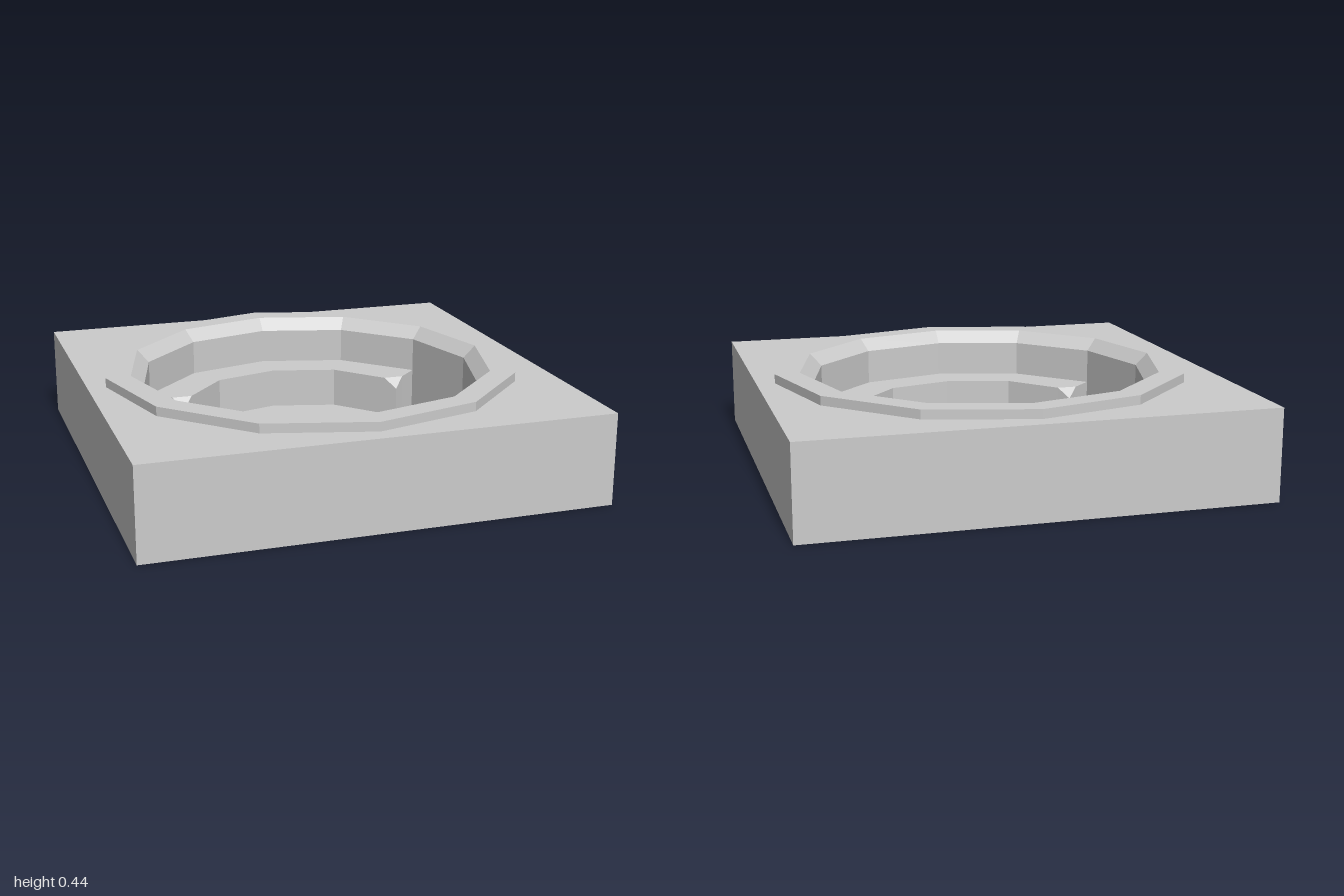
import * as THREE from 'three';

const SIDES = 12;
const FLOOR = 0.05, LEDGE = 0.23, TOP = 0.4, RIM = 0.44;

// Point on a circle, angle in degrees
const polar = (r, deg) => {
  const a = THREE.MathUtils.degToRad(deg);
  return new THREE.Vector2(r * Math.cos(a), r * Math.sin(a));
};

// Extrude a plan outline upward from y0 to y1 (plan y points to the back)
function slab(shape, y0, y1) {
  const geo = new THREE.ExtrudeGeometry(shape, { depth: y1 - y0, bevelEnabled: false });
  return geo.rotateX(-Math.PI / 2).translate(0, y0, 0);
}

export function createModel() {
  const group = new THREE.Group();
  const material = new THREE.MeshStandardMaterial({ color: 0xcccccc, flatShading: true });
  const add = (parent, name, geo) => {
    const mesh = new THREE.Mesh(geo, material);
    mesh.name = name;
    parent.add(mesh);
  };

  // Square block with an opening that holds the basin
  const square = new THREE.Shape([[-1, -1], [1, -1], [1, 1], [-1, 1]].map(p => new THREE.Vector2(...p)));
  const ring = Array.from({ length: SIDES }, (_, i) => polar(0.92, i * 360 / SIDES));
  square.holes.push(new THREE.Path(ring));
  add(group, 'block', slab(square, 0, TOP));

  // Twelve-sided basin: underside, raised rim, chamfer, wall and floor
  const profile = [
    [0, 0], [0.92, 0], [0.92, RIM], [0.81, RIM], [0.755, 0.386], [0.755, FLOOR], [0, FLOOR],
  ].map(p => new THREE.Vector2(...p));
  add(group, 'basin', new THREE.LatheGeometry(profile, SIDES).toNonIndexed());

  // Two facing ledges along the basin wall
  for (const [name, turn] of [['backLedge', 0], ['frontLedge', Math.PI]]) {
    const ledge = new THREE.Group();
    ledge.name = name;
    ledge.rotation.y = turn;
    group.add(ledge);

    const outline = [30, 60, 90, 120, 150].map(a => polar(0.755, a));
    const inner = [[-0.567, 0.294], [-0.476, 0.294], [-0.29, 0.5], [0, 0.577], [0.29, 0.5], [0.476, 0.294], [0.567, 0.294]];
    outline.push(...inner.map(p => new THREE.Vector2(...p)));
    add(ledge, 'ledgeBody', slab(new THREE.Shape(outline), FLOOR, LEDGE));

    // Pointed ends whose top slopes down to the tip
    for (const s of [-1, 1]) {
      const tip = new THREE.Shape([[0.476, 0.294], [0.519, 0.246], [0.567, 0.294]]
        .map(([x, y]) => new THREE.Vector2(s * x, y)));
      const geo = slab(tip, FLOOR, LEDGE);
      const pos = geo.attributes.position;
      for (let i = 0; i < pos.count; i++) {
        if (pos.getZ(i) > -0.27 && pos.getY(i) > 0.2) pos.setY(i, LEDGE - 0.045);
      }
      geo.computeVertexNormals();
      add(ledge, 'ledgeTip', geo);
    }
  }
  return group;
}
